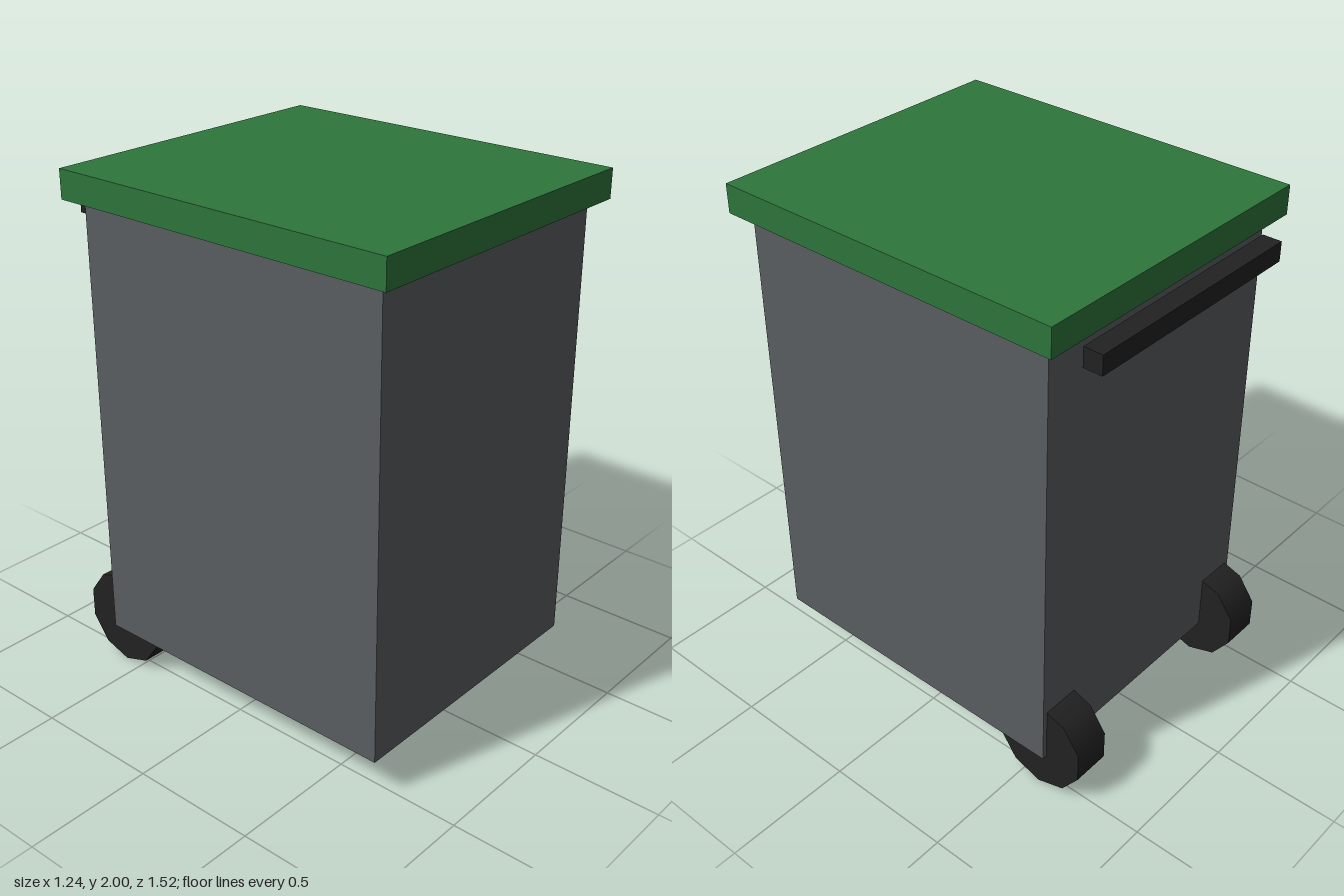
import * as THREE from 'three';

function material(name, color) {
  const m = new THREE.MeshStandardMaterial({ color });
  m.name = name;
  return m;
}

export function createModel() {
  const bin = new THREE.Group();
  bin.name = 'wheelieBin';

  const grey = material('bodyGrey', 0x5a5e61);
  const green = material('lidGreen', 0x2e763b);
  const black = material('rubberBlack', 0x222222);

  const add = (name, geometry, mat, x, y, z) => {
    const mesh = new THREE.Mesh(geometry, mat);
    mesh.name = name;
    mesh.position.set(x, y, z);
    bin.add(mesh);
  };

  // Container and overhanging lid
  add('body', new THREE.BoxGeometry(1.13, 1.74, 1.32), grey, 0, 1.02, 0.045);
  add('lid', new THREE.BoxGeometry(1.242, 0.11, 1.432), green, 0, 1.945, 0.045);

  // Push bar behind the body
  add('handle', new THREE.BoxGeometry(0.95, 0.075, 0.075), black, 0, 1.833, -0.71);

  // Ten-sided wheels with a corner pointing down
  const wheel = new THREE.CylinderGeometry(0.19, 0.19, 0.15, 10, 1, false, Math.PI / 2);
  wheel.rotateZ(Math.PI / 2);
  for (const [name, side] of [['leftWheel', 1], ['rightWheel', -1]]) {
    add(name, wheel, black, side * 0.471, 0.19, -0.58);
  }

  return bin;
}
